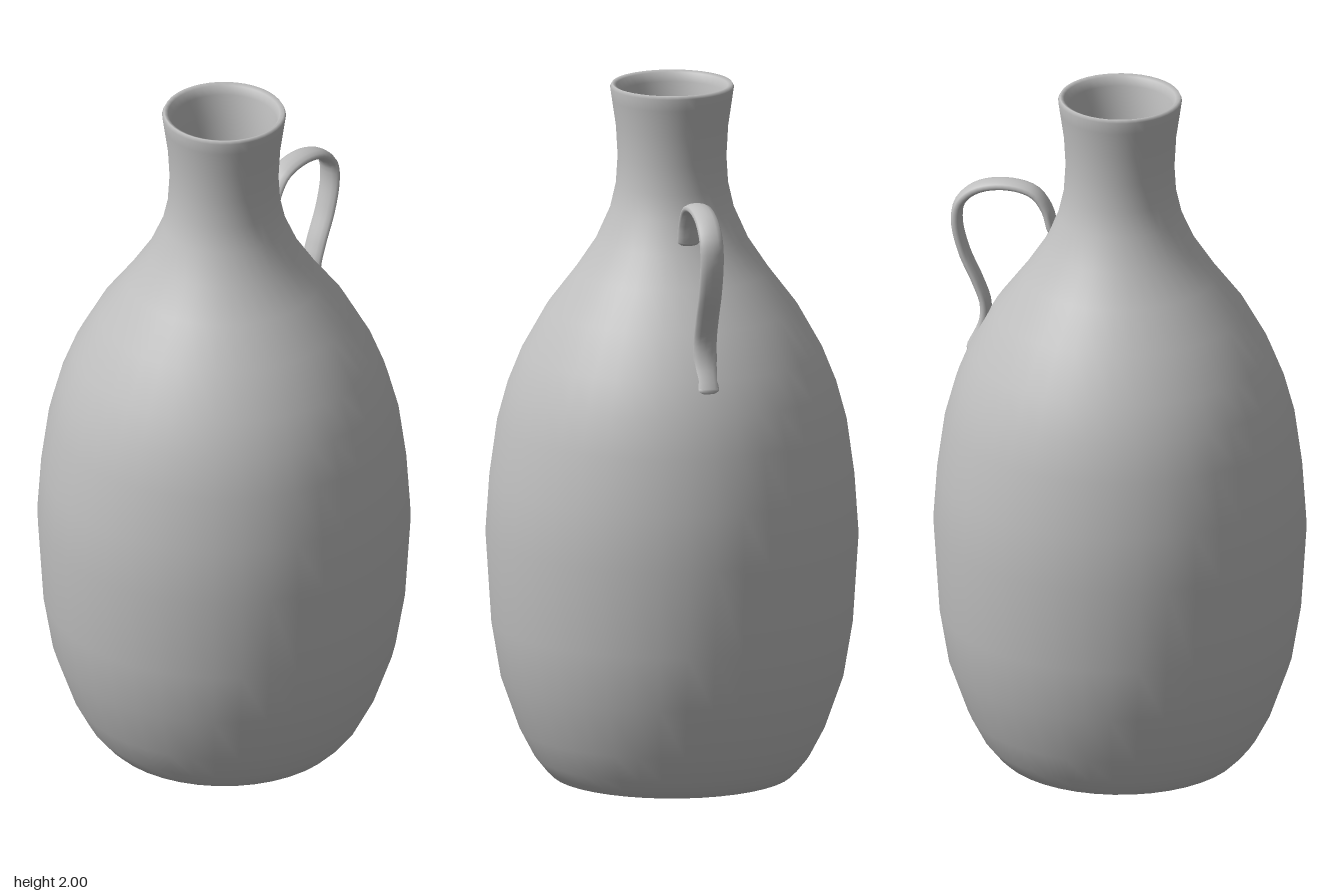
import * as THREE from 'three';

const SEGMENTS = 40;

export function createModel() {
  const model = new THREE.Group();
  model.name = 'jug';
  const clay = new THREE.MeshStandardMaterial({ color: 0xbfbfbf });
  clay.name = 'grey clay';

  const add = (name, geometry, parent = model) => {
    const mesh = new THREE.Mesh(geometry, clay);
    mesh.name = name;
    parent.add(mesh);
    return mesh;
  };
  const lathe = (points) =>
    new THREE.LatheGeometry(points.map(([r, y]) => new THREE.Vector2(r, y)), SEGMENTS);

  // Foot ring, belly, shoulder and neck, up over the lip
  add('body', lathe([
    [0.265, 0.03], [0.275, 0.012], [0.295, 0.002], [0.32, 0], [0.342, 0.005], [0.362, 0.025],
    [0.39, 0.06], [0.432, 0.14], [0.485, 0.29], [0.512, 0.45], [0.528, 0.7],
    [0.517, 0.86], [0.495, 1.02], [0.465, 1.13], [0.425, 1.23], [0.355, 1.355],
    [0.275, 1.46], [0.215, 1.55], [0.175, 1.64], [0.159, 1.71], [0.154, 1.79],
    [0.159, 1.88], [0.17, 1.955], [0.175, 1.99], [0.17, 2], [0.158, 1.995],
    [0.149, 1.97], [0.138, 1.89], [0.131, 1.79], [0.135, 1.71], [0.15, 1.64],
  ]));

  // Hollow inside, from the neck down to the floor
  add('innerWall', lathe([
    [0.15, 1.64], [0.19, 1.55], [0.25, 1.46], [0.33, 1.355], [0.4, 1.23],
    [0.47, 1.02], [0.503, 0.7], [0.487, 0.45], [0.46, 0.29], [0.405, 0.14], [0.34, 0.06],
  ]));
  const floor = add('innerFloor', new THREE.CircleGeometry(0.34, SEGMENTS));
  floor.rotation.x = -Math.PI / 2;
  floor.position.y = 0.06;

  // Recessed underside
  const base = add('underside', new THREE.CircleGeometry(0.266, SEGMENTS));
  base.rotation.x = Math.PI / 2;
  base.position.y = 0.03;

  // Curved strap handle: a round tube widened in z, with rounded ends
  const path = [
    [0.196, 1.585], [0.212, 1.64], [0.25, 1.687], [0.33, 1.704], [0.415, 1.685],
    [0.462, 1.64], [0.471, 1.58], [0.45, 1.49], [0.41, 1.4], [0.388, 1.335],
    [0.393, 1.275], [0.426, 1.203],
  ].map(([x, y]) => new THREE.Vector3(x, y, 0));
  const handle = new THREE.Group();
  handle.name = 'handle';
  handle.scale.z = 2.2;
  model.add(handle);
  const radius = 0.0155;
  add('handleStrap', new THREE.TubeGeometry(
    new THREE.CatmullRomCurve3(path), 44, radius, 12), handle);
  for (const [name, point] of [['upperEnd', path[0]], ['lowerEnd', path[path.length - 1]]]) {
    add(name, new THREE.SphereGeometry(radius, 12, 8), handle).position.copy(point);
  }

  return model;
}
